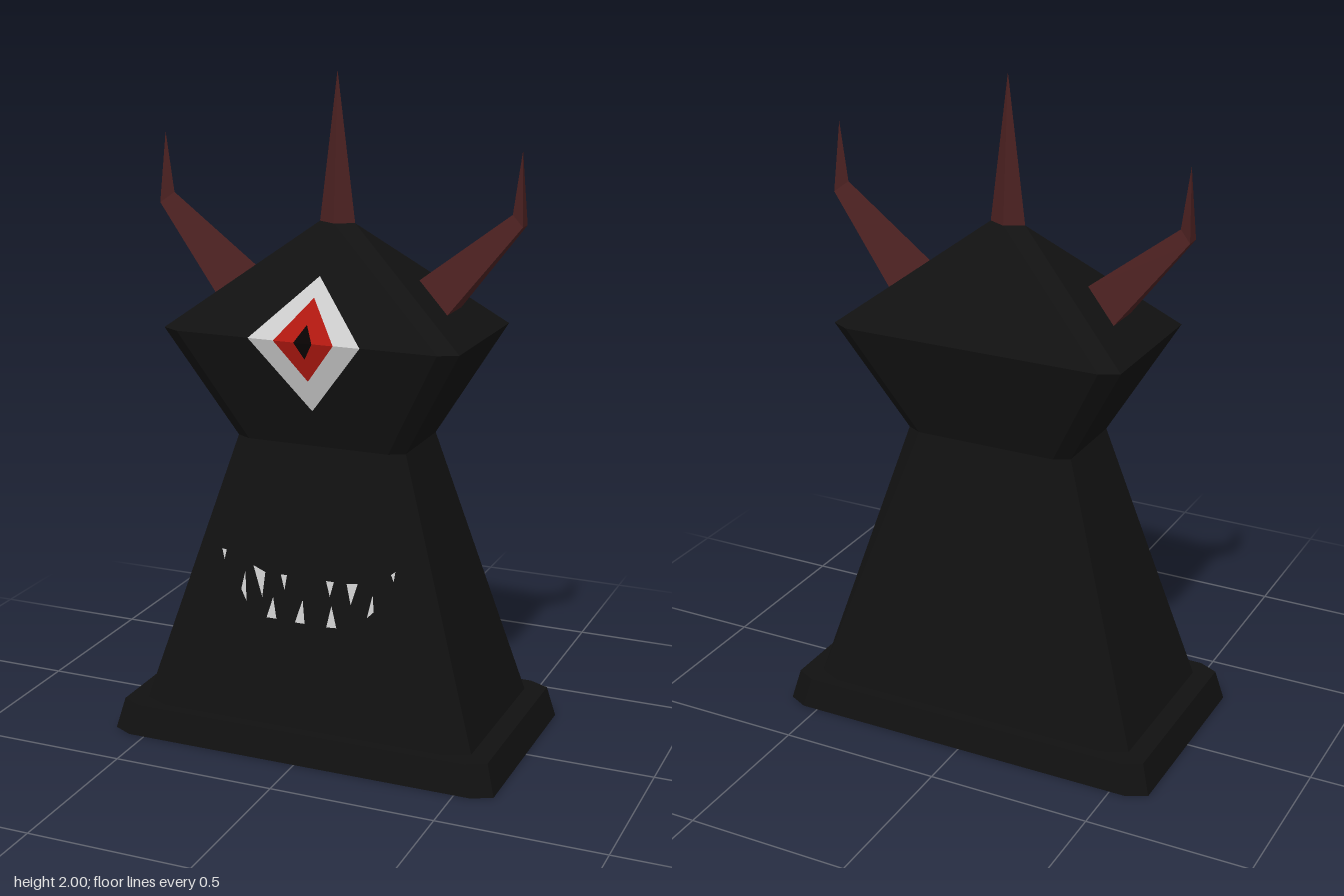
import * as THREE from 'three';

const material = (color) =>
  new THREE.MeshStandardMaterial({ color, flatShading: true, side: THREE.DoubleSide });

function meshFrom(name, points, mat) {
  const geometry = new THREE.BufferGeometry();
  geometry.setAttribute('position', new THREE.Float32BufferAttribute(points.flat(), 3));
  geometry.computeVertexNormals();
  const mesh = new THREE.Mesh(geometry, mat);
  mesh.name = name;
  return mesh;
}

// Skin a stack of rings (anticlockwise seen from the top); close the first ring
function loft(name, rings, mat, capTop = false) {
  const tris = [];
  const n = rings[0].length;
  for (let r = 0; r < rings.length - 1; r++) {
    for (let i = 0; i < n; i++) {
      const j = (i + 1) % n;
      const [a, b, c, d] = [rings[r][i], rings[r][j], rings[r + 1][j], rings[r + 1][i]];
      tris.push(a, b, c, a, c, d);
    }
  }
  const last = rings[rings.length - 1];
  for (let i = 1; i < n - 1; i++) {
    tris.push(rings[0][0], rings[0][i + 1], rings[0][i]);
    if (capTop) tris.push(last[0], last[i], last[i + 1]);
  }
  return meshFrom(name, tris, mat);
}

// Rectangle with cut corners at height y
function section(y, hx, hz, cx, cz) {
  return [
    [-hx + cx, y, hz], [hx - cx, y, hz], [hx, y, hz - cz], [hx, y, -hz + cz],
    [hx - cx, y, -hz], [-hx + cx, y, -hz], [-hx, y, -hz + cz], [-hx, y, hz - cz],
  ];
}

// Depth of the front surface at height y
const PROFILE = [[0.095, 0.29], [0.93, 0.15], [1.26, 0.25], [1.565, 0.03]];
function frontZ(y) {
  const k = y < 0.93 ? 0 : y < 1.26 ? 1 : 2;
  const [[y0, z0], [y1, z1]] = [PROFILE[k], PROFILE[k + 1]];
  return z0 + ((z1 - z0) * (y - y0)) / (y1 - y0);
}

export function createModel() {
  const group = new THREE.Group();
  const black = material(0x111111);
  const hornMat = material(0x4a2020);
  const white = material(0xcccccc);
  const red = material(0xb01810);
  const pupilMat = material(0x080303);

  // Plinth
  group.add(loft('plinth', [
    section(0, 0.61, 0.335, 0.06, 0.03),
    section(0.095, 0.585, 0.32, 0.06, 0.03),
  ], black, true));

  // Body, neck and head
  group.add(loft('body', [
    section(0.09, 0.525, 0.29, 0.075, 0.035),
    section(0.93, 0.265, 0.15, 0.045, 0.025),
    section(1.26, 0.455, 0.25, 0.055, 0.03),
    section(1.565, 0.055, 0.03, 0.055, 0.03),
  ], black, true));

  // Middle horn
  const tip = [0, 2, 0];
  group.add(loft('middleHorn', [
    [[0, 1.565, 0.03], [0.055, 1.565, 0], [0, 1.565, -0.03], [-0.055, 1.565, 0]],
    [tip, tip, tip, tip],
  ], hornMat));

  // Bent side horns with a triangular section
  for (const s of [1, -1]) {
    const ring = (xi, yi, xo, yo, hz) => {
      const pts = [[s * xi, yi, 0], [s * xo, yo, hz], [s * xo, yo, -hz]];
      return s > 0 ? pts : pts.reverse();
    };
    group.add(loft(s > 0 ? 'leftHorn' : 'rightHorn', [
      ring(0.25, 1.41, 0.36, 1.33, 0.06),
      ring(0.528, 1.62, 0.565, 1.59, 0.022),
      ring(0.553, 1.8, 0.553, 1.8, 0),
    ], hornMat));
  }

  // Eye: nested diamonds folded over the brow
  const eye = new THREE.Group();
  eye.name = 'eye';
  const diamonds = [
    ['eyeWhite', 0.172, 1.43, 1.045, white],
    ['iris', 0.092, 1.375, 1.14, red],
    ['pupil', 0.028, 1.307, 1.21, pupilMat],
  ];
  diamonds.forEach(([name, w, top, bottom, mat], i) => {
    const lift = 0.002 * (i + 1);
    const p = (x, y) => [x, y, frontZ(y) + lift];
    const [l, r] = [p(-w, 1.26), p(w, 1.26)];
    eye.add(meshFrom(name, [l, r, p(0, top), r, l, p(0, bottom)], mat));
  });
  group.add(eye);

  // Teeth: x, y of three corners, anticlockwise from the front
  const teeth = [
    [-0.285, 0.597, -0.275, 0.565, -0.27, 0.595],
    [-0.18, 0.56, -0.145, 0.47, -0.14, 0.545],
    [-0.09, 0.545, -0.075, 0.5, -0.07, 0.545],
    [0.055, 0.545, 0.07, 0.5, 0.08, 0.545],
    [0.12, 0.545, 0.137, 0.485, 0.155, 0.55],
    [0.255, 0.59, 0.265, 0.57, 0.268, 0.6],
    [-0.215, 0.485, -0.195, 0.45, -0.205, 0.54],
    [-0.127, 0.412, -0.095, 0.412, -0.11, 0.475],
    [-0.035, 0.41, -0.004, 0.41, -0.015, 0.48],
    [0.065, 0.41, 0.097, 0.412, 0.077, 0.475],
    [0.19, 0.455, 0.21, 0.475, 0.203, 0.525],
  ];
  const corners = [];
  for (const t of teeth) {
    for (let i = 0; i < 6; i += 2) corners.push([t[i], t[i + 1], frontZ(t[i + 1]) + 0.003]);
  }
  group.add(meshFrom('teeth', corners, white));

  return group;
}
